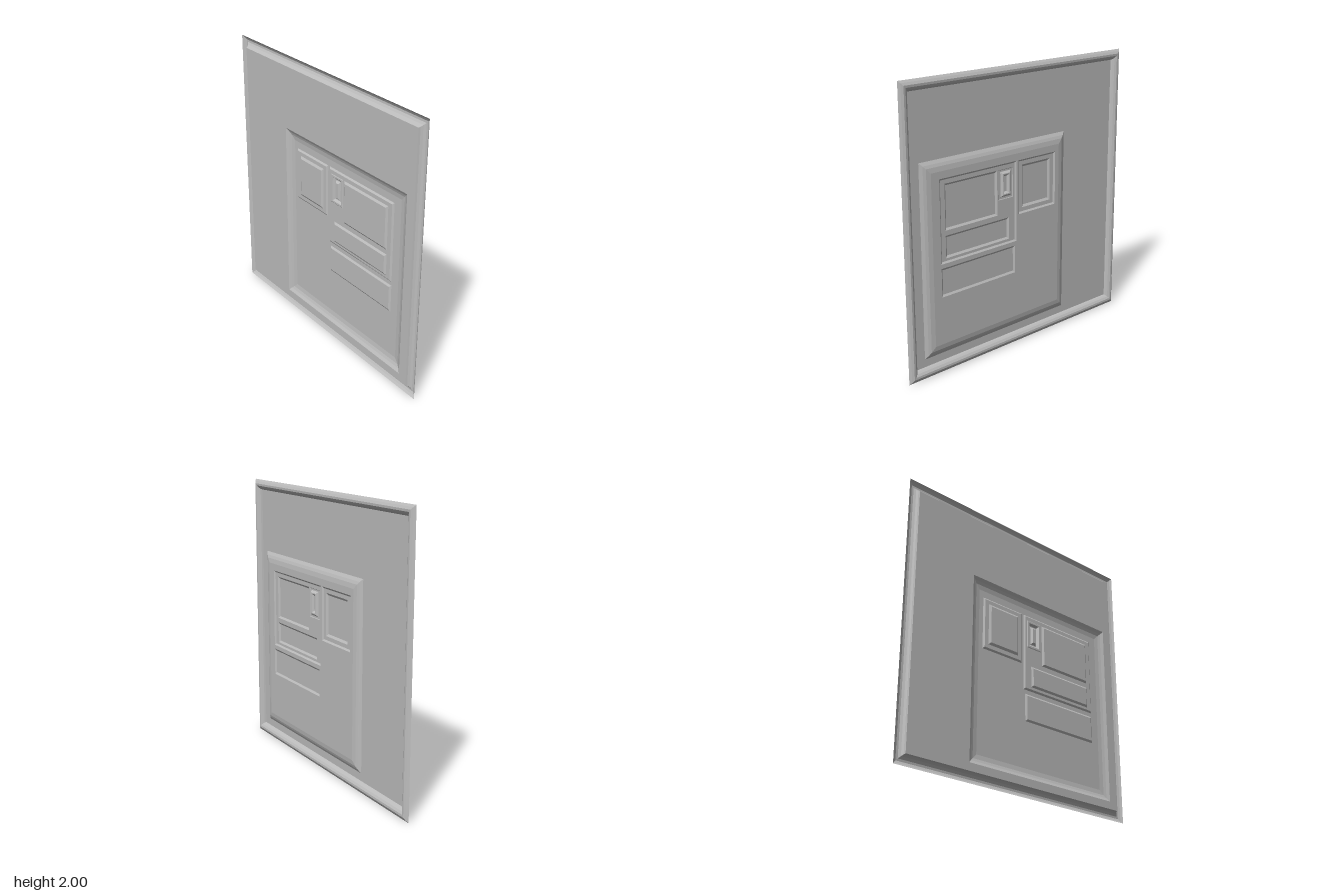
import * as THREE from 'three';

const grey = new THREE.MeshStandardMaterial({ color: 0xbcbcbc, side: THREE.DoubleSide });
grey.name = 'plain grey';

// rectangles are [left, bottom, right, top]
const inset = ([l, b, r, t], d) => [l + d, b + d, r - d, t - d];
const corners = ([l, b, r, t]) => [[l, b], [r, b], [r, t], [l, t]];

function addMesh(group, name, geometry) {
  const mesh = new THREE.Mesh(geometry, grey);
  mesh.name = name;
  group.add(mesh);
}

// mitred moulding round a rectangle; profile = [inset, z] from outside to inside
function moulding(group, name, rect, profile) {
  const pos = [];
  for (let i = 0; i + 1 < profile.length; i++) {
    const [d0, z0] = profile[i], [d1, z1] = profile[i + 1];
    const outer = corners(inset(rect, d0)), inner = corners(inset(rect, d1));
    for (let k = 0; k < 4; k++) {
      const n = (k + 1) % 4;
      const a = [...outer[k], z0], b = [...outer[n], z0];
      const c = [...inner[n], z1], d = [...inner[k], z1];
      pos.push(...a, ...b, ...c, ...a, ...c, ...d);
    }
  }
  const geometry = new THREE.BufferGeometry();
  geometry.setAttribute('position', new THREE.Float32BufferAttribute(pos, 3));
  geometry.computeVertexNormals();
  addMesh(group, name, geometry);
}

// flat sheet with rectangular openings
function sheet(group, name, rect, z, holes = []) {
  const points = r => corners(r).map(([x, y]) => new THREE.Vector2(x, y));
  const shape = new THREE.Shape(points(rect));
  for (const h of holes) shape.holes.push(new THREE.Path(points(h).reverse()));
  addMesh(group, name, new THREE.ShapeGeometry(shape).translate(0, 0, z));
}

// bevelled step from z0 to z1 closed by a flat face
function step(group, name, rect, z0, z1, bevel, holes = []) {
  moulding(group, name + 'Bevel', rect, [[0, z0], [bevel, z1]]);
  sheet(group, name + 'Face', inset(rect, bevel), z1, holes);
}

export function createModel() {
  const model = new THREE.Group();
  model.name = 'embossedPanel';
  const FIELD = 0.014, FLOOR = -0.012, LOW = -0.003, HIGH = 0.007;

  // rounded outer frame, hollow at the front
  const outside = [-1, 0, 1, 2];
  moulding(model, 'outerFrame', outside, [
    [0, 0], [0.014, -0.012], [0.03, -0.021], [0.045, -0.02],
    [0.06, -0.01], [0.07, 0.002], [0.075, FIELD],
  ]);

  // main field and the large sunken panel
  const recess = [-0.44, 0.13, 0.855, 1.47];
  sheet(model, 'mainField', inset(outside, 0.075), FIELD, [recess]);
  moulding(model, 'recessEdge', recess, [
    [0, FIELD], [0.022, 0.001], [0.042, -0.007], [0.075, FLOOR],
  ]);

  // raised panels standing on the recess floor
  const squarePanel = [-0.33, 0.96, 0.025, 1.345];
  const largePanel = [0.045, 0.77, 0.715, 1.345];
  const lowerPanel = [0.06, 0.54, 0.715, 0.74];
  sheet(model, 'recessFloor', inset(recess, 0.075), FLOOR, [squarePanel, largePanel, lowerPanel]);

  const squareInner = [-0.285, 1.0, -0.015, 1.305];
  step(model, 'squarePanel', squarePanel, FLOOR, LOW, 0.012, [squareInner]);
  step(model, 'squareInner', squareInner, LOW, HIGH, 0.016);

  const upperBox = [0.215, 0.99, 0.667, 1.305];
  const lowerBox = [0.11, 0.8, 0.667, 0.955];
  const smallBox = [0.072, 1.095, 0.203, 1.305];
  step(model, 'largePanel', largePanel, FLOOR, LOW, 0.012, [upperBox, lowerBox, smallBox]);
  step(model, 'upperBox', upperBox, LOW, HIGH, 0.014);
  step(model, 'lowerBox', lowerBox, LOW, HIGH, 0.014);

  // small socket with a raised bar in the middle
  const socket = [0.092, 1.112, 0.184, 1.29];
  const bar = [0.113, 1.133, 0.163, 1.269];
  step(model, 'smallBox', smallBox, LOW, 0.0, 0.004, [socket]);
  step(model, 'socket', socket, 0.0, -0.014, 0.014, [bar]);
  step(model, 'socketBar', bar, -0.014, 0.0, 0.014);

  step(model, 'lowerPanel', lowerPanel, FLOOR, LOW, 0.014);
  return model;
}
